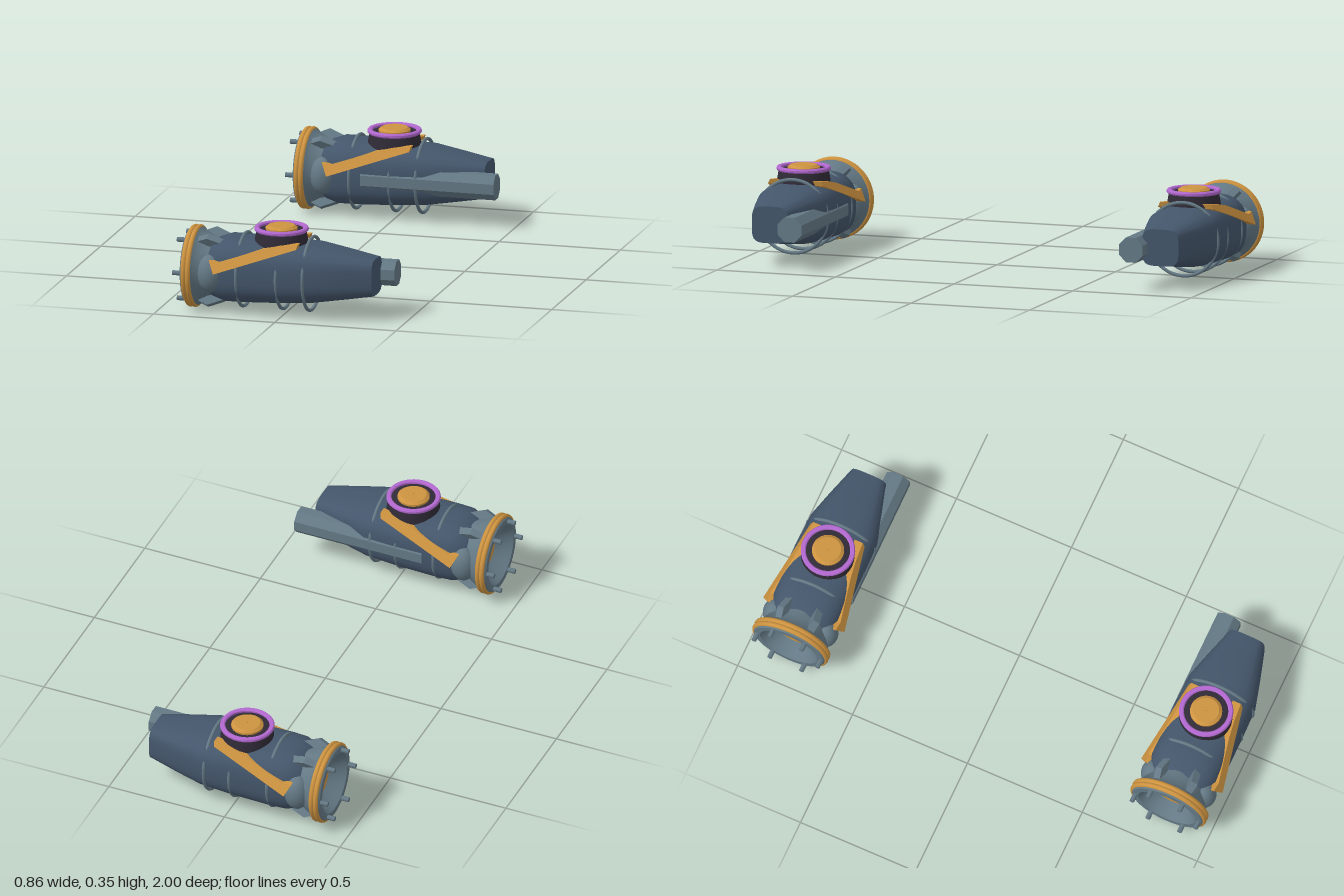
import * as THREE from 'three';
import { toCreasedNormals } from 'three/addons/utils/BufferGeometryUtils.js';

const makeMat = (name, color, side = THREE.FrontSide) => {
  const m = new THREE.MeshStandardMaterial({ color, side });
  m.name = name;
  return m;
};

const AXIS_Y = 0.165; // height of each pod's long axis

// Lofted hull: rounded-square sections [x, halfHeight, halfWidth, centreY, squareness]
function hullGeometry() {
  const sections = [
    [-0.31, 0.09, 0.1, 0.168, 2.6],
    [-0.285, 0.114, 0.128, 0.169, 2.7],
    [-0.235, 0.13, 0.144, 0.17, 2.8],
    [-0.17, 0.129, 0.148, 0.17, 2.9],
    [0.0, 0.122, 0.149, 0.171, 3],
    [0.13, 0.114, 0.146, 0.173, 3],
    [0.25, 0.094, 0.113, 0.172, 3.4],
    [0.37, 0.074, 0.077, 0.171, 4],
  ];
  const N = 48, pos = [], idx = [];
  const power = (v, n) => Math.sign(v) * Math.pow(Math.abs(v), 2 / n);
  for (const [x, h, w, cy, n] of sections) {
    for (let j = 0; j < N; j++) {
      const t = (j / N) * Math.PI * 2;
      pos.push(x, cy + h * power(Math.cos(t), n), w * power(Math.sin(t), n));
    }
  }
  const last = sections.length - 1;
  for (let i = 0; i < last; i++) {
    for (let j = 0; j < N; j++) {
      const k = (j + 1) % N;
      const a = i * N + j, b = i * N + k, c = a + N, d = b + N;
      idx.push(a, b, c, b, d, c);
    }
  }
  // End caps
  const c0 = pos.length / 3;
  pos.push(sections[0][0], 0.168, 0, sections[last][0], 0.171, 0);
  for (let j = 0; j < N; j++) {
    const k = (j + 1) % N;
    idx.push(c0, k, j, c0 + 1, last * N + j, last * N + k);
  }
  const g = new THREE.BufferGeometry();
  g.setAttribute('position', new THREE.Float32BufferAttribute(pos, 3));
  g.setIndex(idx);
  return toCreasedNormals(g, 0.6);
}

// Revolved shape from [radius, height] points
const lathe = (pts, seg = 48) =>
  toCreasedNormals(new THREE.LatheGeometry(pts.map(p => new THREE.Vector2(...p)), seg), 0.5);

const shapeFrom = pts => new THREE.Shape(pts.map(p => new THREE.Vector2(...p)));

// Blade plate, sheared so that it leans inward with height
function bladeGeometry(side) {
  const g = new THREE.ExtrudeGeometry(shapeFrom([
    [-0.28, 0.228], [-0.255, 0.178], [-0.06, 0.243], [0.07, 0.286],
    [0.075, 0.305], [0, 0.296], [-0.07, 0.28], [-0.24, 0.222],
  ]), { depth: 0.035, bevelEnabled: false });
  const p = g.attributes.position;
  for (let i = 0; i < p.count; i++) {
    const outer = 0.177 - (p.getY(i) - 0.178) * 0.55;
    p.setZ(i, p.getZ(i) - 0.035 + side * outer + (side < 0 ? 0.035 : 0));
  }
  g.computeVertexNormals();
  return g;
}

export function createModel() {
  const hullBlue = makeMat('hull slate blue', 0x44566b);
  const metal = makeMat('grey metal', 0x647985);
  const gold = makeMat('gold', 0xcd9340);
  const purple = makeMat('purple trim', 0xb268cf);
  const dark = makeMat('dark housing', 0x302b37);

  function pod(side) {
    const group = new THREE.Group();
    group.name = side > 0 ? 'frontPod' : 'backPod';
    group.position.z = side * 0.823;
    const add = (name, geo, mat, x = 0, y = 0, z = 0) => {
      const m = new THREE.Mesh(geo, mat);
      m.name = name;
      m.position.set(x, y, z);
      group.add(m);
      return m;
    };
    // Part whose own y axis lies along +x
    const addAlongX = (name, geo, mat, x = 0, y = AXIS_Y, z = 0) => {
      const m = add(name, geo, mat, x, y, z);
      m.rotation.z = -Math.PI / 2;
      return m;
    };

    add('hull', hullGeometry(), hullBlue);

    // Hollow nozzle with collar
    addAlongX('nozzle', lathe([
      [0.001, -0.325], [0.07, -0.325], [0.085, -0.34], [0.11, -0.375], [0.125, -0.4],
      [0.149, -0.4], [0.156, -0.392], [0.156, -0.355], [0.146, -0.345],
      [0.138, -0.33], [0.124, -0.305], [0.118, -0.26], [0.08, -0.25],
    ]), metal);
    addAlongX('nozzleCore', new THREE.CylinderGeometry(0.064, 0.064, 0.02, 32), gold, -0.335);

    // Gold double band
    for (const x of [-0.384, -0.366]) {
      const band = add('nozzleBand', new THREE.TorusGeometry(0.154, 0.011, 10, 56), gold, x, AXIS_Y);
      band.rotation.y = Math.PI / 2;
    }

    // Six pins around the nozzle rim
    for (let i = 0; i < 6; i++) {
      const a = (i * Math.PI) / 3;
      addAlongX('rimPin', new THREE.CylinderGeometry(0.01, 0.01, 0.04, 8), metal,
        -0.412, AXIS_Y + 0.138 * Math.sin(a), 0.138 * Math.cos(a));
    }

    // Rounded side bulges behind the nozzle
    for (const s of [-1, 1]) {
      const bulge = add('sideBulge', new THREE.SphereGeometry(1, 20, 14), metal, -0.285, AXIS_Y, s * 0.11);
      bulge.scale.set(0.053, 0.076, 0.05);
    }

    // Wedge brackets between collar and hull
    const bracket = new THREE.ExtrudeGeometry(shapeFrom([
      [-0.35, 0.1], [-0.23, 0.1], [-0.24, 0.136], [-0.305, 0.162], [-0.345, 0.145],
    ]), { depth: 0.03, bevelEnabled: false });
    bracket.translate(0, 0, -0.015);
    for (const a of [0.5, -0.5, Math.PI - 0.5, Math.PI + 0.5]) {
      add('collarBracket', bracket, metal, 0, AXIS_Y).rotation.x = a;
    }

    // Thin hoops around the hull
    for (const x of [-0.17, -0.006, 0.104]) {
      const hoop = add('hullHoop', new THREE.TorusGeometry(0.147, 0.007, 8, 56), metal, x, AXIS_Y);
      hoop.rotation.y = Math.PI / 2;
    }

    // Octagonal barrel along the inner flank
    const barrel = new THREE.CylinderGeometry(0.054, 0.054, 0.55, 8).toNonIndexed();
    barrel.rotateY(Math.PI / 8);
    barrel.computeVertexNormals();
    addAlongX('sideBarrel', barrel, metal, 0.153, AXIS_Y, -side * 0.103);

    // Gold blades on both flanks
    for (const s of [-1, 1]) add('flankBlade', bladeGeometry(s), gold);

    // Round hatch on top
    const hx = -0.022;
    add('hatchBase', lathe([
      [0.108, 0.26], [0.107, 0.29], [0.099, 0.335], [0.09, 0.338], [0.001, 0.338],
    ]), dark, hx);
    add('hatchRing', lathe([
      [0.09, 0.334], [0.104, 0.332], [0.108, 0.337], [0.108, 0.344], [0.104, 0.349],
      [0.092, 0.349], [0.088, 0.345], [0.088, 0.336],
    ]), purple, hx);
    add('hatchCap', lathe([
      [0.064, 0.33], [0.064, 0.346], [0.058, 0.35], [0.052, 0.355], [0.001, 0.355],
    ]), gold, hx);

    // Small marker on the belly
    add('bellyMarker', new THREE.BoxGeometry(0.04, 0.008, 0.012), gold, -0.03, 0.047, 0);
    return group;
  }

  const model = new THREE.Group();
  model.name = 'twinPods';
  model.add(pod(1), pod(-1));
  return model;
}
